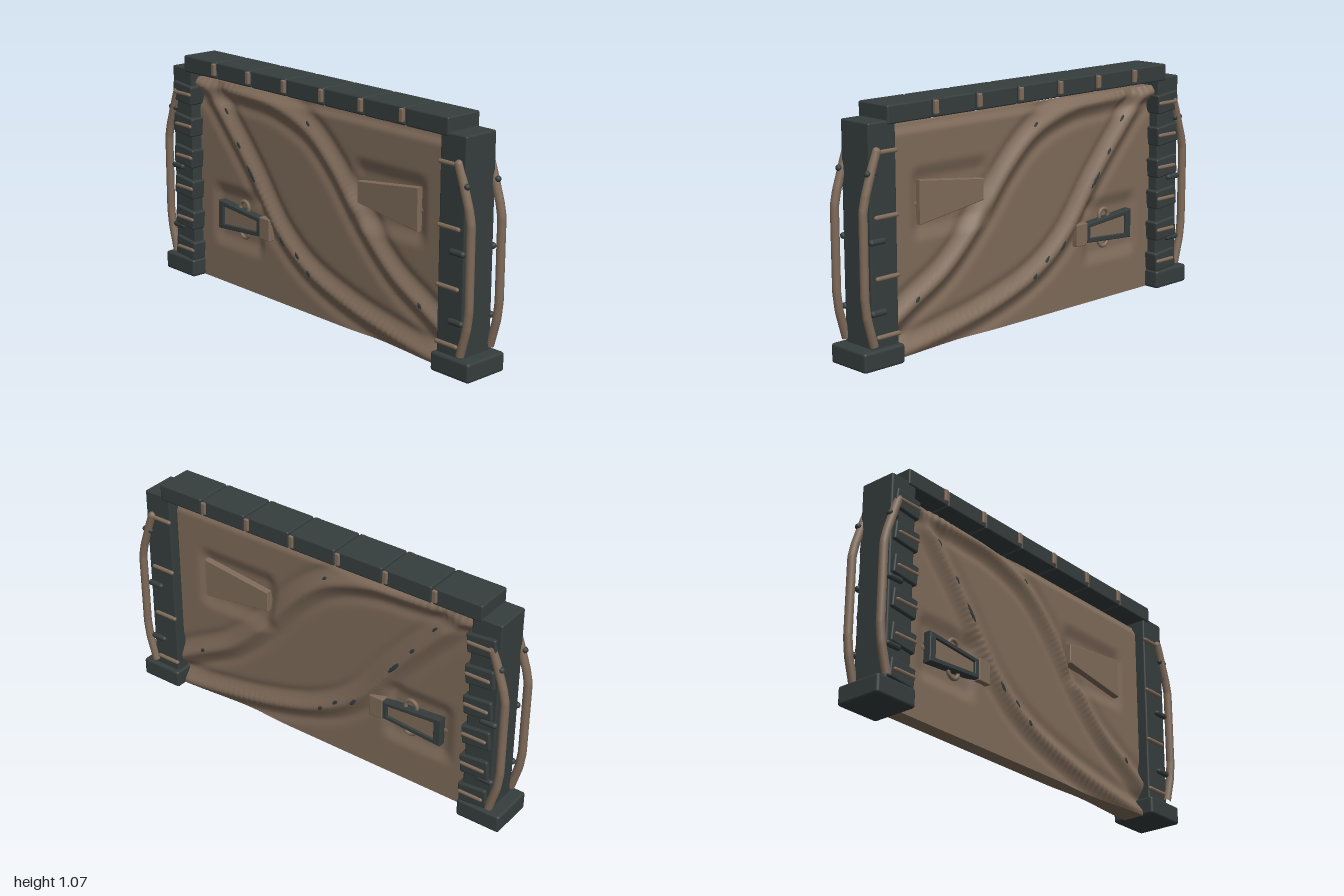
import * as THREE from 'three';
import { RoundedBoxGeometry } from 'three/addons/geometries/RoundedBoxGeometry.js';

export function createModel() {
  const root = new THREE.Group();
  const brown = new THREE.MeshStandardMaterial({ color: 0x7f6b5a });
  brown.name = 'brown clay';
  const dark = new THREE.MeshStandardMaterial({ color: 0x363d3d });
  dark.name = 'dark slate';

  const add = (name, geo, mat, x = 0, y = 0, z = 0) => {
    const m = new THREE.Mesh(geo, mat);
    m.name = name;
    m.position.set(x, y, z);
    root.add(m);
    return m;
  };
  const block = (name, mat, x0, x1, y0, y1, depth, r = 0.008) =>
    add(name, new RoundedBoxGeometry(x1 - x0, y1 - y0, depth, 2, r), mat, (x0 + x1) / 2, (y0 + y1) / 2, 0);
  // horizontal rod along x
  const rod = (name, mat, x0, x1, y, z, r) => {
    const m = add(name, new THREE.CapsuleGeometry(r, Math.abs(x1 - x0) - 2 * r, 4, 10), mat, (x0 + x1) / 2, y, z);
    m.rotation.z = Math.PI / 2;
    return m;
  };
  // polygon plate centred on the panel, showing on both faces
  const plate = (name, mat, pts, half, hole) => {
    const s = new THREE.Shape(pts.map(p => new THREE.Vector2(...p)));
    if (hole) s.holes.push(new THREE.Path(hole.map(p => new THREE.Vector2(...p))));
    const g = new THREE.ExtrudeGeometry(s, {
      depth: 2 * half - 0.006, bevelThickness: 0.003, bevelSize: 0.003, bevelOffset: -0.003, bevelSegments: 1 });
    g.translate(0, 0, 0.003 - half);
    return add(name, g, mat);
  };

  // panel with two flowing ridges and two soft recesses
  const path = pts => new THREE.SplineCurve(pts.map(p => new THREE.Vector2(...p))).getPoints(90);
  const ridges = [
    path([[-0.84, 0.95], [-0.72, 0.91], [-0.58, 0.77], [-0.42, 0.59], [-0.23, 0.35], [-0.02, 0.2], [0.28, 0.1], [0.62, 0.035], [0.84, 0.01]]),
    path([[-0.84, 0.97], [-0.47, 0.945], [-0.26, 0.925], [-0.04, 0.85], [0.13, 0.71], [0.3, 0.51], [0.49, 0.33], [0.68, 0.22], [0.84, 0.13]]),
  ];
  const bump = (d, w) => Math.exp(-(d * d) / (w * w));
  const recess = (x, y, cx, cy, hx, hy) =>
    (1 - THREE.MathUtils.smoothstep(Math.abs(x - cx), hx - 0.04, hx + 0.04)) *
    (1 - THREE.MathUtils.smoothstep(Math.abs(y - cy), hy - 0.04, hy + 0.04));
  const surface = (x, y) => {
    let h = 0.036;
    for (const r of ridges) {
      let d = 9;
      for (const p of r) d = Math.min(d, Math.hypot(p.x - x, p.y - y));
      h += 0.022 * bump(d, 0.03) - 0.009 * bump(d - 0.07, 0.025);
    }
    h -= 0.02 * recess(x, y, 0.46, 0.635, 0.2, 0.13);
    h -= 0.02 * recess(x, y, -0.53, 0.335, 0.16, 0.13);
    return h - 0.018 * THREE.MathUtils.smoothstep(y, 0.93, 0.97);
  };
  const pg = new THREE.BoxGeometry(1.62, 0.97, 0.06, 150, 90, 1);
  pg.translate(0, 0.487, 0);
  const pos = pg.attributes.position;
  for (let i = 0; i < pos.count; i++)
    pos.setZ(i, Math.sign(pos.getZ(i)) * surface(pos.getX(i), pos.getY(i)));
  pg.computeVertexNormals();
  add('panel', pg, brown);

  // top row of blocks with clips in the joints
  const x0 = -0.85, pitch = 1.697 / 7;
  for (let i = 0; i < 7; i++) {
    const x = x0 + i * pitch;
    block('topBlock', dark, x + 0.003, x + pitch - 0.003, 0.995, 1.073, 0.184);
    if (i) block('topClip', brown, x - 0.028, x - 0.004, 1.008, 1.067, 0.204, 0.006);
  }

  // end posts, bases, handles and pegs
  for (const s of [-1, 1]) {
    const span = (a, b) => (s > 0 ? [a, b] : [-b, -a]);
    block('post', dark, ...span(0.8, 0.94), 0.02, 1.012, 0.174);
    block('base', dark, ...span(0.787, 1), 0, 0.085, 0.22, 0.012);
    for (const z of [-0.09, 0.09]) {
      const curve = new THREE.CurvePath();
      const pts = [[0.905, 0.895], [0.925, 0.84], [0.965, 0.72], [0.978, 0.66], [0.978, 0.3], [0.968, 0.22], [0.935, 0.1]]
        .map(p => new THREE.Vector3(s * p[0], p[1], z));
      for (let i = 1; i < pts.length; i++) curve.add(new THREE.LineCurve3(pts[i - 1], pts[i]));
      add('handle', new THREE.TubeGeometry(curve, 48, 0.019, 10), brown);
      add('handleTip', new THREE.SphereGeometry(0.019, 10, 8), brown, pts[0].x, pts[0].y, z);
      rod('pin', dark, ...span(0.905, 0.965), 0.812, z, 0.014);
      for (const y of [0.53, 0.235]) rod('peg', dark, ...span(0.865, 0.95), y, z, 0.014);
    }
  }

  // clips on the plain post
  for (const z of [-0.09, 0.09])
    for (const y of [0.89, 0.627, 0.375, 0.13]) rod('postClip', brown, 0.795, 0.92, y, z, 0.01);

  // tilted scales and their clips on the other post
  for (let i = 0; i < 6; i++) {
    const y = 0.132 + i * 0.152;
    block('scale', dark, -0.925, -0.787, y - 0.045, y + 0.045, 0.206).rotation.z = -0.1;
    for (const z of [-0.103, 0.103]) rod('scaleClip', brown, -0.91, -0.788, y, z, 0.009);
  }

  // tapered plate in the upper recess
  plate('wedgePlate', brown, [[0.28, 0.595], [0.64, 0.545], [0.64, 0.735], [0.28, 0.69]], 0.045);
  rod('wedgeKnob', brown, 0.62, 0.695, 0.632, 0, 0.024);

  // framed latch in the lower recess
  plate('latchFrame', dark, [[-0.655, 0.27], [-0.355, 0.293], [-0.355, 0.38], [-0.655, 0.407]], 0.055,
    [[-0.62, 0.295], [-0.38, 0.312], [-0.38, 0.363], [-0.62, 0.382]]);
  plate('latchInsert', brown, [[-0.63, 0.29], [-0.37, 0.308], [-0.37, 0.367], [-0.63, 0.387]], 0.045);
  block('latchEnd', brown, -0.357, -0.287, 0.285, 0.39, 0.116, 0.005);
  rod('latchKnob', brown, -0.695, -0.63, 0.338, 0, 0.022);
  for (const z of [-0.03, 0.03])
    for (const y of [0.4, 0.283]) add('latchRing', new THREE.TorusGeometry(0.03, 0.009, 8, 20), brown, -0.49, y, z);

  // dark chips along the ridges
  for (const [x, y, l] of [[-0.6, 0.84, 0.018], [-0.5, 0.7, 0.018], [-0.41, 0.58, 0.045], [-0.2, 0.31, 0.025],
    [-0.1, 0.262, 0.02], [-0.02, 0.2, 0.015], [-0.035, 0.88, 0.015], [0.67, 0.235, 0.015]])
    for (const s of [-1, 1]) {
      const m = add('chip', new THREE.SphereGeometry(1, 10, 6), dark, x, y, s * surface(x, y));
      m.scale.set(l, 0.009, 0.003);
      m.rotation.z = -0.9;
    }
  return root;
}
